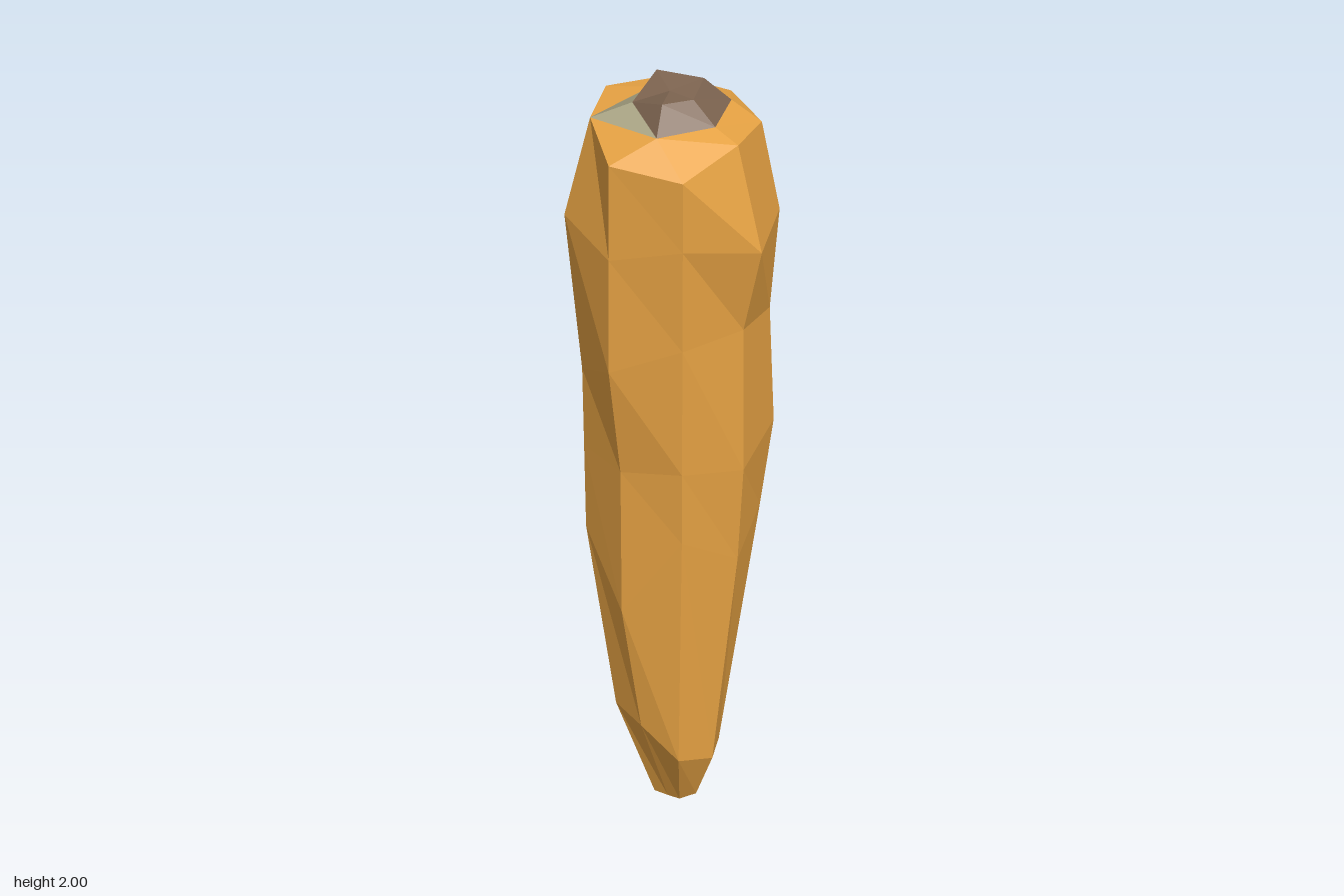
import * as THREE from 'three';

const v = (x, y, z) => new THREE.Vector3(x, y, z);

// Flat-shaded mesh from triangles; collapsed triangles are skipped
function facetMesh(name, color, triangles) {
  const pos = [];
  for (const [a, b, c] of triangles) {
    if (a.equals(b) || b.equals(c) || c.equals(a)) continue;
    for (const p of [a, b, c]) pos.push(p.x, p.y, p.z);
  }
  const geometry = new THREE.BufferGeometry();
  geometry.setAttribute('position', new THREE.Float32BufferAttribute(pos, 3));
  geometry.computeVertexNormals();
  const mesh = new THREE.Mesh(geometry, new THREE.MeshStandardMaterial({ color, flatShading: true }));
  mesh.name = name;
  return mesh;
}

// Side faces between an upper and a lower ring (rings run from +x towards +z)
function band(upper, lower) {
  const out = [];
  upper.forEach((a, k) => {
    const n = (k + 1) % upper.length;
    out.push([a, upper[n], lower[k]], [upper[n], lower[n], lower[k]]);
  });
  return out;
}

// Closing fan over a ring
function fan(ring, up) {
  const c = v(0, 0, 0);
  ring.forEach((p) => c.addScaledVector(p, 1 / ring.length));
  return ring.map((p, k) => {
    const q = ring[(k + 1) % ring.length];
    return up ? [c, q, p] : [c, p, q];
  });
}

// Eight-sided ring with a radius and a height for every side
function ring(cx, cz, radii, heights) {
  return radii.map((r, k) => {
    const a = (k * Math.PI) / 4;
    return v(cx + r * Math.cos(a), heights[k], cz + r * Math.sin(a));
  });
}

export function createModel() {
  const group = new THREE.Group();
  group.name = 'carrot';

  // Root: irregular rings from the shoulder down to the tip
  const rings = [
    ring(0, 0, [0.207, 0.255, 0.26, 0.22, 0.24, 0.23, 0.205, 0.215], [1.9, 1.85, 1.87, 1.915, 1.915, 1.91, 1.905, 1.89]),
    ring(0, 0, [0.287, 0.25, 0.26, 0.285, 0.29, 0.265, 0.26, 0.26], [1.62, 1.65, 1.6, 1.64, 1.71, 1.67, 1.71, 1.64]),
    ring(0, 0, [0.225, 0.235, 0.26, 0.24, 0.26, 0.25, 0.245, 0.235], [1.38, 1.36, 1.28, 1.2, 1.33, 1.3, 1.35, 1.36]),
    ring(0, 0, [0.225, 0.22, 0.215, 0.235, 0.235, 0.235, 0.235, 0.245], [0.98, 1, 0.98, 0.98, 0.98, 1, 1, 1.04]),
    ring(0, 0, [0.205, 0.21, 0.21, 0.23, 0.23, 0.225, 0.225, 0.21], [0.72, 0.8, 0.58, 0.75, 0.75, 0.75, 0.76, 0.8]),
    ring(0.03, 0.04, [0.125, 0.14, 0.13, 0.15, 0.12, 0.125, 0.12, 0.11], [0.15, 0.17, 0.25, 0.27, 0.16, 0.18, 0.2, 0.16]),
    ring(0.04, 0.04, [0.06, 0.05, 0.04, 0.06, 0.05, 0.045, 0.04, 0.04], [0.03, 0.02, 0.02, 0.02, 0.02, 0.015, 0, 0.01]),
  ];

  // Corners of the stem foot, the peeled corner and the stem top
  const right = v(-0.15, 1.917, -0.065);
  const back = v(0.06, 1.925, -0.14);
  const left = v(0.13, 1.925, 0);
  const front = v(0.06, 1.925, 0.145);
  const corner = rings[0][3];
  const notch = v(-0.08, 1.955, 0.08);
  const stemTop = [v(0.065, 1.985, 0.01), v(0.03, 1.99, 0.09), notch, v(-0.095, 2, -0.03), v(0.025, 2, -0.075)];

  // Shoulder cap joins the eight-sided root to the stem foot
  const capRing = [left, front, front, corner, right, right, back, back];
  const faces = band(capRing, rings[0]);
  for (let i = 0; i + 1 < rings.length; i++) faces.push(...band(rings[i], rings[i + 1]));
  faces.push(...fan(rings[rings.length - 1], false));
  group.add(facetMesh('root', 0xe6a243, faces));

  // Stem stub
  const stemFoot = [left, front, notch, right, back];
  group.add(facetMesh('stem', 0x7d6450, [...band(stemTop, stemFoot), ...fan(stemTop, true)]));

  // Pale patch beside the stem
  group.add(facetMesh('palePatch', 0xaaa585, [[notch, corner, front], [notch, right, corner]]));

  return group;
}
